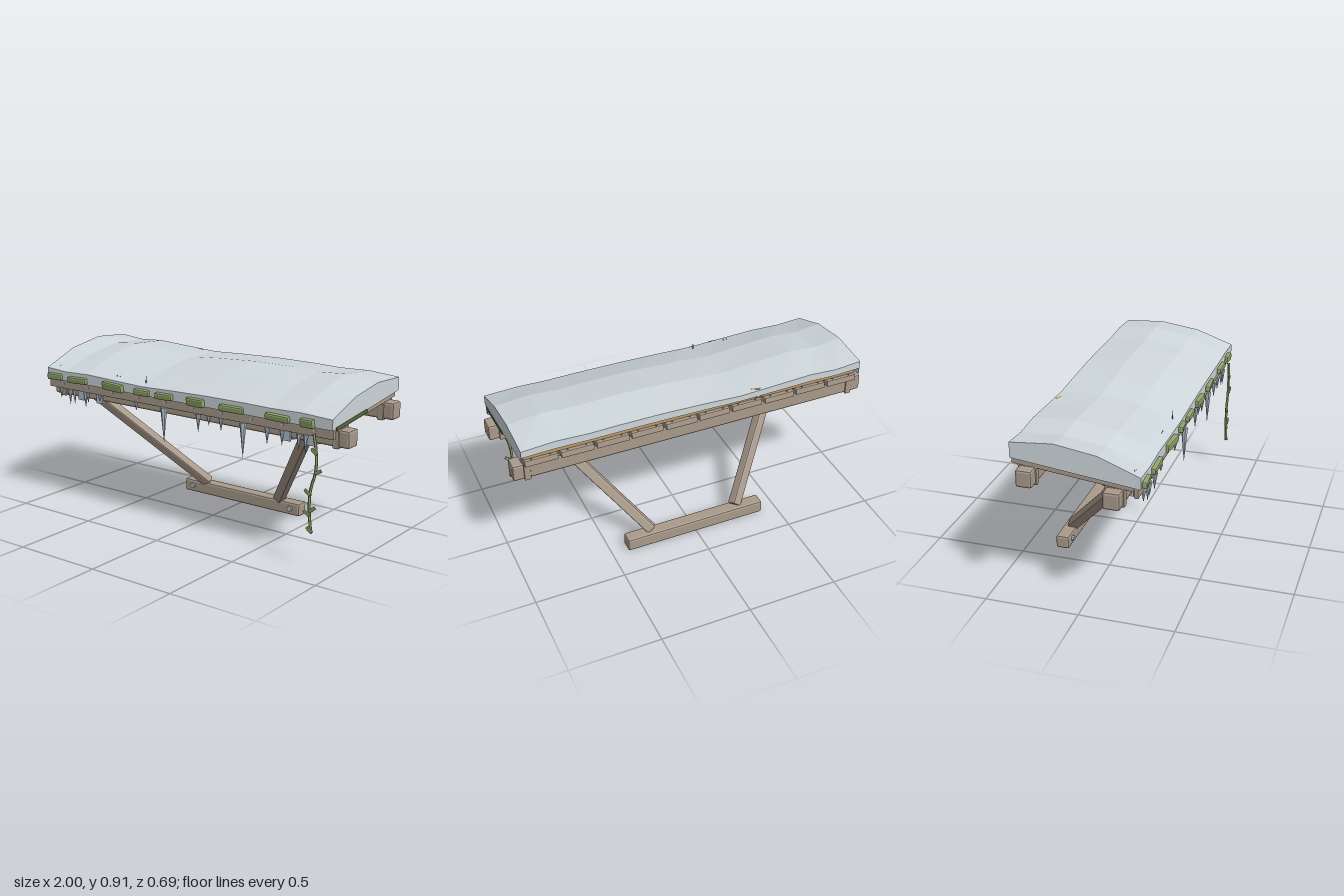
import * as THREE from 'three';
import { RoundedBoxGeometry } from 'three/addons/geometries/RoundedBoxGeometry.js';

const mat = (name, color, side = THREE.FrontSide) => {
  const m = new THREE.MeshStandardMaterial({ color, side });
  m.name = name;
  return m;
};

// Flat-shaded copy of any geometry
function flat(g) {
  const out = g.index ? g.toNonIndexed() : g;
  out.computeVertexNormals();
  return out;
}

const chamferBox = (w, h, d, r) => flat(new RoundedBoxGeometry(w, h, d, 1, r));

export function createModel() {
  const model = new THREE.Group();
  model.name = 'snowyAwning';
  const wood = mat('weathered wood', 0xa99a8b);
  const snowMat = mat('snow', 0xced7db, THREE.DoubleSide);
  const straw = mat('straw underlay', 0xb8935f);
  const moss = mat('moss', 0x8fa469);
  const darkMoss = mat('dark moss', 0x5f7042);
  const metal = mat('pale metal', 0xb9c3cb);
  const ice = mat('ice', 0xb3bfcb);

  function add(name, geometry, material, x = 0, y = 0, z = 0, parent = model) {
    const m = new THREE.Mesh(geometry, material);
    m.name = name;
    m.position.set(x, y, z);
    parent.add(m);
    return m;
  }
  const bolt = (name, x, y, z, r, len = 0.012) => {
    const g = flat(new THREE.CylinderGeometry(r, r, len, 8));
    return add(name, g.rotateX(Math.PI / 2), metal, x, y, z);
  };

  // Long beams with a collar near each end
  for (const [name, y, z, h, d] of [['frontBeam', 0.663, 0.177, 0.092, 0.088], ['rearBeam', 0.716, -0.264, 0.092, 0.084]]) {
    add(name, chamferBox(2, h, d, 0.012), wood, 0, y, z);
    for (const s of [-1, 1]) add(name + 'Collar', chamferBox(0.036, h + 0.014, d + 0.014, 0.006), wood, s * 0.925, y, z);
  }

  // Foot beam
  add('footBeam', chamferBox(0.82, 0.075, 0.075, 0.012), wood, 0, 0.0375, -0.3025);

  // Diagonal legs, bolts and bracket straps, mirrored
  for (const s of [-1, 1]) {
    const top = new THREE.Vector3(s * 0.725, 0.64, 0.165);
    const foot = new THREE.Vector3(s * 0.262, 0.083, -0.288);
    const dir = top.clone().sub(foot);
    const leg = add('leg', chamferBox(0.055, dir.length() + 0.03, 0.055, 0.008), wood);
    const yAxis = dir.clone().normalize();
    const zAxis = new THREE.Vector3(0, 0, 1).addScaledVector(yAxis, -yAxis.z).normalize();
    const xAxis = yAxis.clone().cross(zAxis);
    leg.quaternion.setFromRotationMatrix(new THREE.Matrix4().makeBasis(xAxis, yAxis, zAxis));
    leg.position.copy(top).add(foot).multiplyScalar(0.5);

    bolt('footBolt', s * 0.35, 0.04, -0.26, 0.016);
    bolt('beamBolt', s * 0.73, 0.66, 0.224, 0.015);
    for (const x of [0.64, 0.785]) {
      add('strapFront', new THREE.BoxGeometry(0.045, 0.105, 0.008), ice, s * x, 0.656, 0.226);
      add('strapBottom', new THREE.BoxGeometry(0.045, 0.008, 0.106), ice, s * x, 0.609, 0.177).rotation.x = -0.08;
    }
  }

  // Sloping plank deck with straw above
  const deck = new THREE.Group();
  deck.name = 'deck';
  deck.position.set(0, 0.7525, -0.033);
  deck.rotation.x = 0.112;
  model.add(deck);
  const count = 10, pitch = 1.9 / count;
  for (let i = 0; i < count; i++) {
    const x = -0.95 + pitch * (i + 0.5);
    const shift = 0.006 * Math.sin(i * 2.3);
    add('plank', chamferBox(pitch - 0.014, 0.035, 0.624, 0.005), wood, x, 0, shift * 0.5, deck);
    for (const dx of [-0.05, 0.05]) add('plankNail', new THREE.CylinderGeometry(0.004, 0.004, 0.004, 6), darkMoss, x + dx, 0.019, -0.298, deck);
  }
  add('strawLayer', new THREE.BoxGeometry(1.89, 0.036, 0.6), straw, 0, 0.036, 0.01, deck);
  add('strawTuft', new THREE.CylinderGeometry(0.05, 0.05, 0.05, 8), straw, -0.35, 0.06, -0.265, deck);

  // Front batten with nail heads
  add('fasciaBatten', chamferBox(1.92, 0.062, 0.022, 0.004), wood, 0, 0.708, 0.291);
  for (let i = 0; i < count; i++) bolt('fasciaNail', -0.85 + i * 0.189, 0.708, 0.303, 0.008, 0.006);

  // Snow blanket: a faceted profile swept along x with a drifting crest
  const crest = [[-0.96, 0], [-0.81, -0.022], [-0.65, -0.006], [-0.45, -0.022], [-0.24, -0.037], [-0.05, -0.021],
    [0.2, -0.007], [0.44, -0.006], [0.6, -0.012], [0.78, 0], [0.96, -0.02]];
  // z, y, share of the crest drift
  const profile = [[0.315, 0.727, 0], [0.315, 0.79, 0.4], [0.1, 0.873, 0.85], [-0.12, 0.907, 1], [-0.345, 0.887, 0.6], [-0.345, 0.842, 0.3]];
  const rings = crest.map(([x, d]) => profile.map(([z, y, k]) => [x, y + d * k, z]));
  const pos = [];
  const tri = (a, b, c) => pos.push(...a, ...b, ...c);
  for (let i = 0; i < rings.length - 1; i++) {
    for (let j = 0; j < profile.length; j++) {
      const k = (j + 1) % profile.length;
      const [a, b, c, d] = [rings[i][j], rings[i + 1][j], rings[i + 1][k], rings[i][k]];
      tri(a, b, c);
      tri(a, c, d);
    }
  }
  // End flaps reach down to the deck
  for (const [ring, s] of [[rings[0], -1], [rings[rings.length - 1], 1]]) {
    const pts = [...ring, [ring[0][0], 0.805, -0.345]];
    for (let j = 1; j < pts.length - 1; j++) {
      if (s > 0) tri(pts[0], pts[j + 1], pts[j]);
      else tri(pts[0], pts[j], pts[j + 1]);
    }
  }
  const snowGeo = new THREE.BufferGeometry();
  snowGeo.setAttribute('position', new THREE.Float32BufferAttribute(pos, 3));
  snowGeo.computeVertexNormals();
  add('snowBlanket', snowGeo, snowMat);

  // Icicles: x, length
  for (const [x, len] of [[-0.87, 0.06], [-0.8, 0.09], [-0.765, 0.08], [-0.68, 0.09], [-0.66, 0.06], [-0.57, 0.04], [-0.3, 0.05],
    [-0.105, 0.2], [0.13, 0.1], [0.2, 0.05], [0.28, 0.07], [0.42, 0.19], [0.57, 0.09], [0.66, 0.08], [0.76, 0.09], [0.8, 0.1]]) {
    const g = new THREE.ConeGeometry(0.01 + len * 0.045, len, 6).rotateX(Math.PI);
    add('icicle', flat(g), ice, x, 0.678 - len / 2, 0.3);
  }

  // Moss clumps along the front edge: centre x, width
  [[-0.895, 0.1], [-0.72, 0.14], [-0.452, 0.155], [-0.24, 0.1], [-0.085, 0.115], [0.127, 0.115], [0.362, 0.145], [0.645, 0.14], [0.82, 0.08]]
    .forEach(([x, w], i) => {
      const clump = add('mossClump', chamferBox(w, 0.036 + 0.01 * (i % 3 === 2), 0.03, 0.009), moss, x, 0.745, 0.322);
      clump.rotation.set(0.1, 0.1 * Math.sin(i * 2.1 + 1), 0.04 * Math.sin(i * 1.7));
    });
  add('sideMoss', new THREE.BoxGeometry(0.03, 0.016, 0.3), darkMoss, 0.949, 0.746, 0.133).rotation.x = 0.112;

  // Hanging vine with leaves
  const path = [[0.86, 0.7], [0.876, 0.61], [0.876, 0.505], [0.85, 0.415], [0.843, 0.33], [0.848, 0.25], [0.857, 0.185]]
    .map(([x, y]) => new THREE.Vector3(x, y, 0.322));
  add('vineStem', flat(new THREE.TubeGeometry(new THREE.CatmullRomCurve3(path), 14, 0.008, 5)), moss);
  for (const [x, y, a] of [[0.868, 0.61, -0.7], [0.893, 0.51, 0.5], [0.835, 0.395, -0.6], [0.864, 0.31, 0.7], [0.832, 0.285, -0.6], [0.85, 0.2, -0.6]]) {
    add('vineLeaf', chamferBox(0.042, 0.018, 0.01, 0.003), moss, x, y, 0.328).rotation.z = a;
  }

  // Sprigs poking through the snow
  for (const [x, y, h] of [[-0.25, 0.81, 0.06], [-0.92, 0.8, 0.02], [-0.9, 0.8, 0.015], [-0.46, 0.795, 0.025], [-0.44, 0.795, 0.02]]) {
    add('sprig', new THREE.ConeGeometry(0.004, h, 5), darkMoss, x, y, 0.272);
  }
  return model;
}
